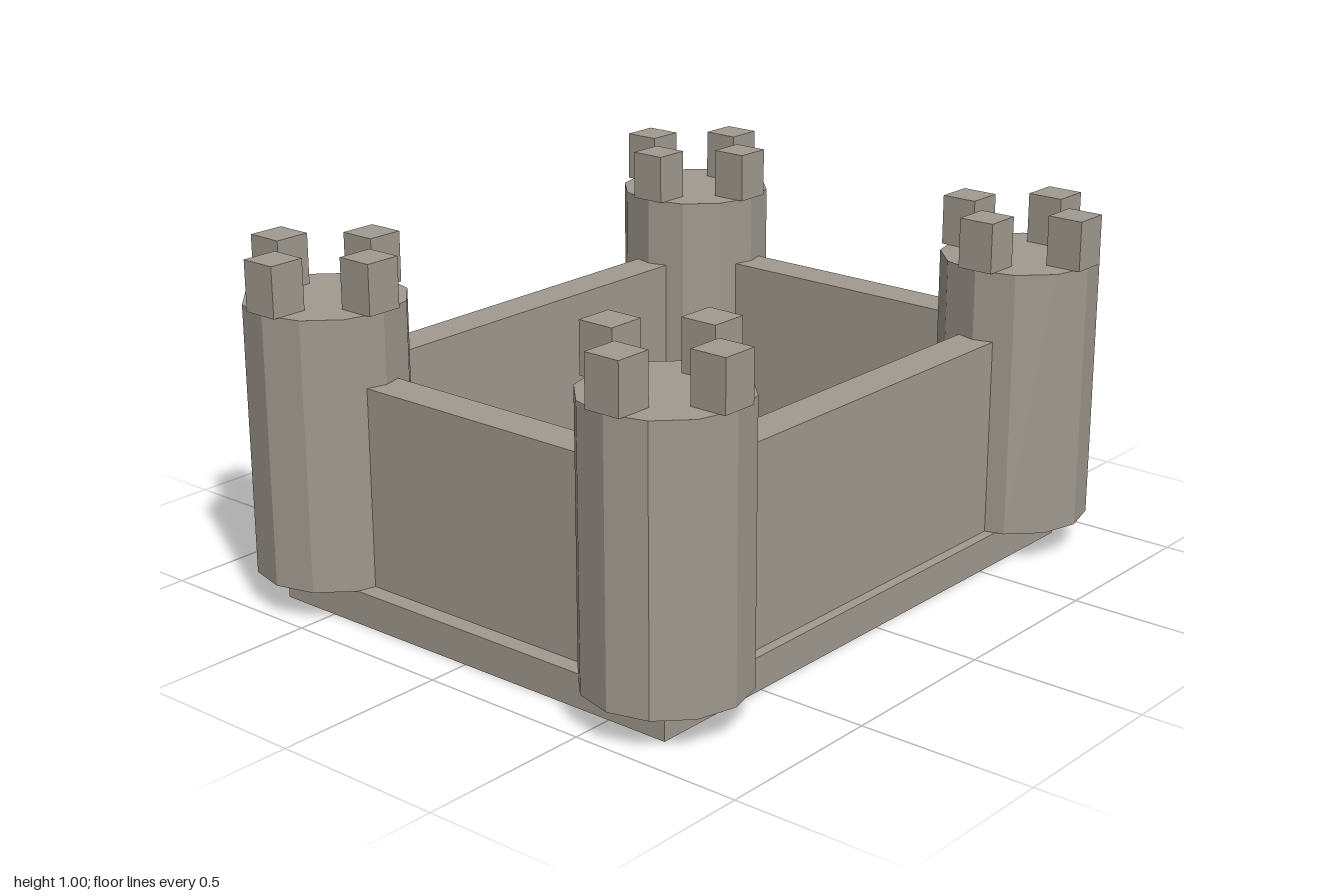
import * as THREE from 'three';

const TOWER_X = 0.772, TOWER_Z = 0.596, TOWER_R = 0.224;
const BASE_H = 0.096, TOWER_TOP = 0.862, WALL_TOP = 0.662, WALL_T = 0.113;
const MERLON_W = 0.106, MERLON_OFFSET = 0.175;

export function createModel() {
  const castle = new THREE.Group();
  castle.name = 'castle';
  const stone = new THREE.MeshStandardMaterial({ color: 0xa09a8f, flatShading: true });
  stone.name = 'stone';

  // Box placed by its footprint centre and its bottom and top heights
  function block(name, parent, w, d, x, z, bottom, top) {
    const mesh = new THREE.Mesh(new THREE.BoxGeometry(w, top - bottom, d), stone);
    mesh.name = name;
    mesh.position.set(x, (bottom + top) / 2, z);
    parent.add(mesh);
  }

  // Foundation slab
  block('base', castle, 1.76, 1.366, 0, 0, 0, BASE_H);

  // Walls, with their ends set into the towers
  const wallX = 2 * (TOWER_X - 0.15), wallZ = 2 * (TOWER_Z - 0.15);
  block('frontWall', castle, wallX, WALL_T, 0, TOWER_Z, BASE_H, WALL_TOP);
  block('backWall', castle, wallX, WALL_T, 0, -TOWER_Z, BASE_H, WALL_TOP);
  block('leftWall', castle, WALL_T, wallZ, TOWER_X, 0, BASE_H, WALL_TOP);
  block('rightWall', castle, WALL_T, wallZ, -TOWER_X, 0, BASE_H, WALL_TOP);

  // Twelve-sided corner towers, each with four merlons
  const height = TOWER_TOP - BASE_H;
  const shaft = new THREE.CylinderGeometry(TOWER_R, TOWER_R, height, 12);
  for (const sx of [1, -1]) {
    for (const sz of [1, -1]) {
      const tower = new THREE.Group();
      tower.name = (sz > 0 ? 'front' : 'back') + (sx > 0 ? 'Left' : 'Right') + 'Tower';
      tower.position.set(sx * TOWER_X, 0, sz * TOWER_Z);
      const body = new THREE.Mesh(shaft, stone);
      body.name = 'towerShaft';
      body.position.y = BASE_H + height / 2;
      tower.add(body);
      for (const [dx, dz] of [[1, 0], [-1, 0], [0, 1], [0, -1]]) {
        block('merlon', tower, MERLON_W, MERLON_W,
          dx * MERLON_OFFSET, dz * MERLON_OFFSET, TOWER_TOP, 1.004);
      }
      castle.add(tower);
    }
  }
  return castle;
}
